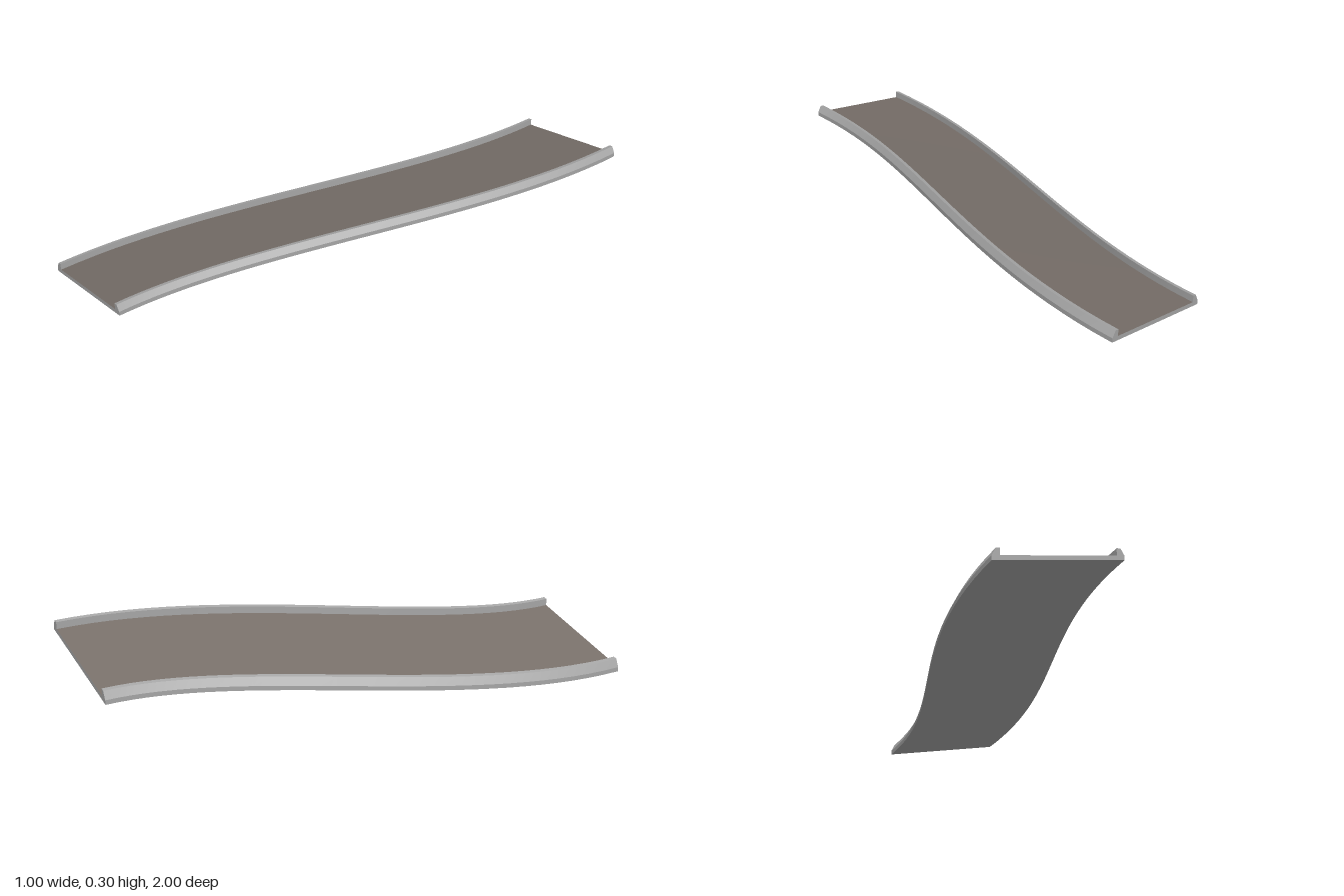
import * as THREE from 'three';

const STEPS = 32;
const BANK = 0.253;   // rise per unit of width
const HALF = 0.25;    // half the road width
const KERB = 0.03;    // width of each side rail
const DECK = 0.018;   // thickness of the deck

// Point on the banked S-bend: step i, sideways offset u, height h above the underside
function place(i, u, h) {
  const t = i / STEPS;
  const ease = t * t * (3 - 2 * t);
  const slope = 1.5 * t * (1 - t); // sideways travel per unit forward
  const len = Math.hypot(1, slope);
  const x = -0.25 + 0.5 * ease + u / len;
  const y = BANK * (0.25 + 0.5 * ease + u) + h;
  const z = 1 - 2 * t + (u * slope) / len;
  return [x, y, z];
}

// Sweep a profile (clockwise seen from the front), sharp across and smooth along the bend
function sweep(name, profile, material, closed, caps) {
  const pos = [], index = [];
  const n = profile.length;
  for (let k = 0; k < (closed ? n : n - 1); k++) {
    const a = profile[k], b = profile[(k + 1) % n];
    const base = pos.length / 3;
    for (let i = 0; i <= STEPS; i++) pos.push(...place(i, ...a), ...place(i, ...b));
    for (let i = 0; i < STEPS; i++) {
      const p = base + i * 2;
      index.push(p, p + 1, p + 2, p + 1, p + 3, p + 2);
    }
  }
  if (caps) {
    for (const end of [0, STEPS]) {
      const base = pos.length / 3;
      for (const p of profile) pos.push(...place(end, ...p));
      for (let k = 1; k < n - 1; k++) {
        if (end === 0) index.push(base, base + k + 1, base + k);
        else index.push(base, base + k, base + k + 1);
      }
    }
  }
  const geometry = new THREE.BufferGeometry();
  geometry.setAttribute('position', new THREE.Float32BufferAttribute(pos, 3));
  geometry.setIndex(index);
  geometry.computeVertexNormals();
  const mesh = new THREE.Mesh(geometry, material);
  mesh.name = name;
  return mesh;
}

export function createModel() {
  const concrete = new THREE.MeshStandardMaterial({ color: 0xa6a6a6 });
  concrete.name = 'concrete grey';
  const asphalt = new THREE.MeshStandardMaterial({ color: 0x78706a });
  asphalt.name = 'asphalt brown';

  const group = new THREE.Group();
  group.name = 'bankedRoadBend';
  const inner = HALF - KERB;

  // Driving surface
  group.add(sweep('roadSurface', [[-inner, DECK], [inner, DECK]], asphalt, false, false));

  // Underside and end faces of the slab
  group.add(sweep('deck',
    [[inner, DECK], [inner, 0], [-inner, 0], [-inner, DECK]], concrete, false, true));

  // Side rails with a bevelled outer edge
  const rail = [[0, 0], [0, 0.018], [0.015, 0.046], [KERB, 0.046], [KERB, 0]];
  const rightRail = rail.map(([u, h]) => [u - HALF, h]);
  const leftRail = rail.map(([u, h]) => [HALF - u, h]).reverse();
  group.add(sweep('rightRail', rightRail, concrete, true, true));
  group.add(sweep('leftRail', leftRail, concrete, true, true));

  return group;
}
